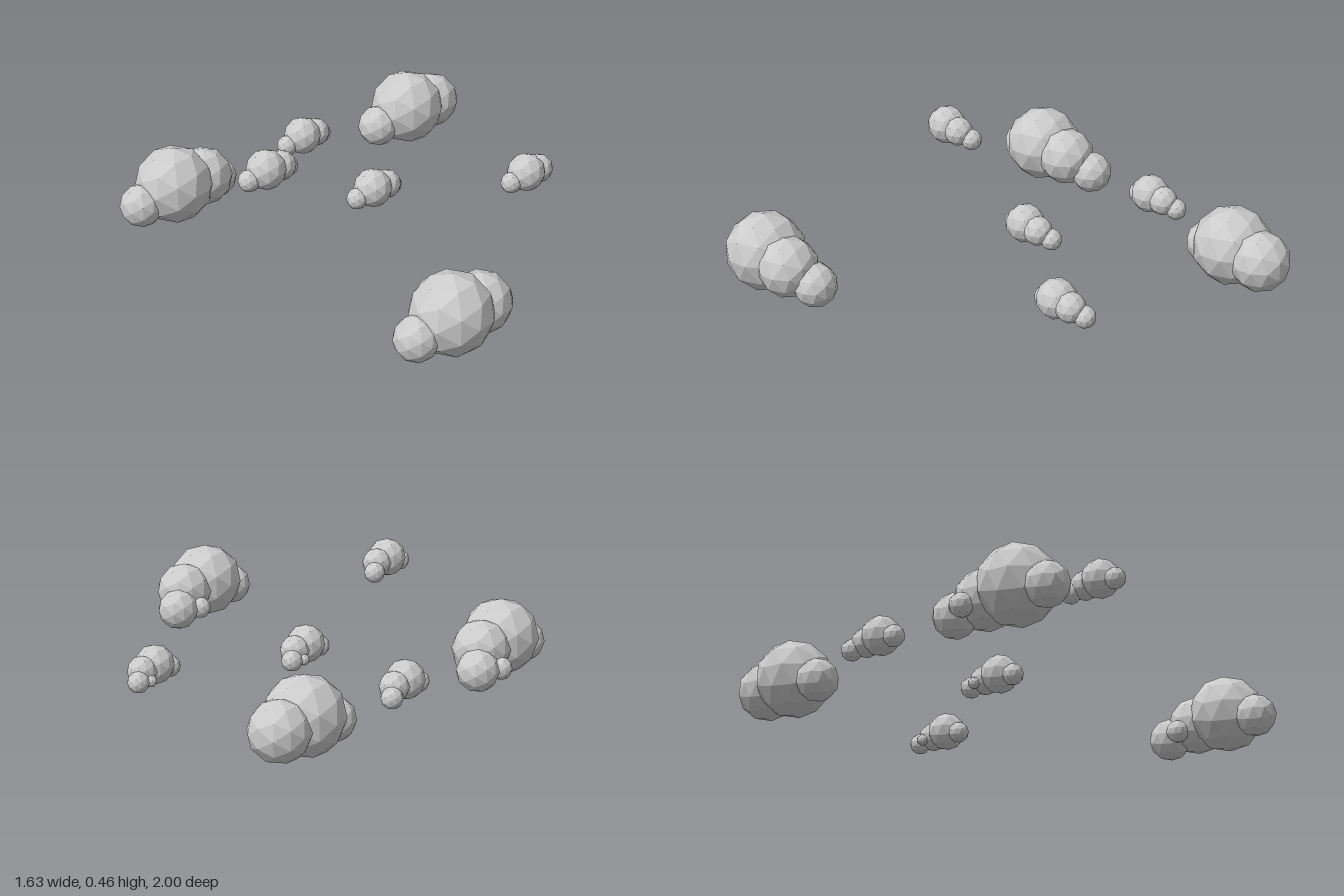
import * as THREE from 'three';

// Puffs of a full-size cloud, relative to its main puff: name, dx, dy, dz, radius
const PUFFS = [
  ['mainPuff', 0, 0, 0, 0.15],
  ['frontPuff', -0.08, -0.05, 0.12, 0.083],
  ['rearPuff', 0.06, -0.013, -0.128, 0.114],
  ['tailPuff', 0.06, -0.064, -0.237, 0.083],
  ['sidePuff', -0.022, -0.064, -0.195, 0.045],
];

// Clouds: name, x, y, z of the main puff, scale, number of puffs
const CLOUDS = [
  ['largeCloudFront', 0.64, 0.152, 0.797, 1, 5],
  ['largeCloudRight', -0.657, 0.152, 0.247, 1, 5],
  ['largeCloudBack', -0.083, 0.152, -0.757, 1, 3],
  ['smallCloudBackRight', -0.37, 0.155, -0.328, 0.5, 4],
  ['smallCloudBackLeft', 0.56, 0.155, -0.328, 0.5, 5],
  ['smallCloudMiddle', 0.06, 0.155, 0.012, 0.5, 5],
  ['smallCloudHigh', -0.182, 0.387, 0.452, 0.5, 4],
];

export function createModel() {
  const model = new THREE.Group();
  model.name = 'clouds';
  const material = new THREE.MeshStandardMaterial({ color: 0xcccccc, flatShading: true });
  const ball = new THREE.IcosahedronGeometry(1, 1);

  for (const [name, x, y, z, scale, count] of CLOUDS) {
    const cloud = new THREE.Group();
    cloud.name = name;
    cloud.position.set(x, y, z);
    cloud.scale.setScalar(scale);
    // Overlapping low-poly puffs
    for (const [puffName, dx, dy, dz, radius] of PUFFS.slice(0, count)) {
      const puff = new THREE.Mesh(ball, material);
      puff.name = puffName;
      puff.position.set(dx, dy, dz);
      puff.scale.setScalar(radius);
      cloud.add(puff);
    }
    model.add(cloud);
  }
  return model;
}
